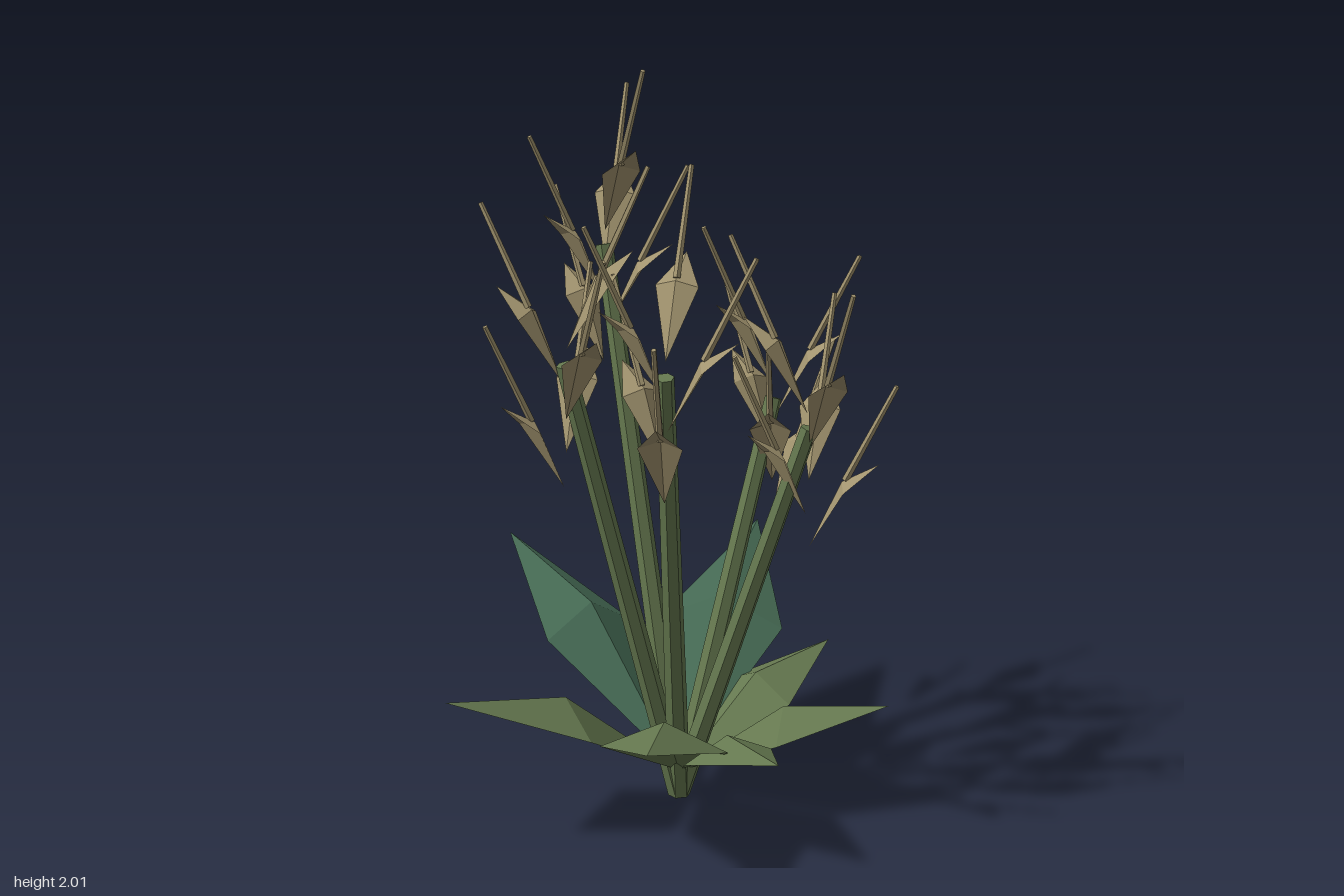
import * as THREE from 'three';

const RAD = Math.PI / 180;
const BASE_Z = 0.14;

const make = (name, color, side) => {
  const m = new THREE.MeshStandardMaterial({ color, flatShading: true, side });
  m.name = name;
  return m;
};

// Folded four-faced blade in a local frame: +x outward, y up, z across.
// Points are [outward, up]; edge is the widest point on both sides of the midrib.
function bladeGeometry(base, mid, edge, tip, halfWidth) {
  const b = [...base, 0], m = [...mid, 0], t = [...tip, 0];
  const l = [...edge, -halfWidth], r = [...edge, halfWidth];
  const faces = [b, m, l, l, m, t, b, r, m, m, r, t];
  const g = new THREE.BufferGeometry();
  g.setAttribute('position', new THREE.Float32BufferAttribute(faces.flat(), 3));
  g.computeVertexNormals();
  return g;
}

// Tapered rod between two points
function rod(from, to, r0, r1, sides, material, name) {
  const a = new THREE.Vector3(...from), b = new THREE.Vector3(...to);
  const dir = b.clone().sub(a);
  const mesh = new THREE.Mesh(new THREE.CylinderGeometry(r1, r0, dir.length(), sides), material);
  mesh.position.copy(a).add(b).multiplyScalar(0.5);
  mesh.quaternion.setFromUnitVectors(new THREE.Vector3(0, 1, 0), dir.normalize());
  mesh.name = name;
  return mesh;
}

export function createModel() {
  const model = new THREE.Group();
  model.name = 'floweringPlant';
  const olive = make('olive green', 0x65784f, THREE.DoubleSide);
  const teal = make('blue green', 0x446852, THREE.DoubleSide);
  const tan = make('dry tan', 0xa2946f, THREE.DoubleSide);

  // Leaf rosette: [azimuth from +x towards +z, reach, tip height, half width]
  const leaves = [
    [-85.6, 0.845, 0.535, 0.147, teal], [-32.4, 0.845, 0.535, 0.183, teal],
    [189.4, 0.72, 0.42, 0.15, olive], [137.8, 0.72, 0.42, 0.17, olive],
    [105.5, 0.58, 0.31, 0.13, olive], [53.4, 0.58, 0.31, 0.145, olive],
    [0, 0.575, 0.31, 0.132, olive],
  ];
  const leafBase = 0.07;
  for (const [angle, reach, top, half, material] of leaves) {
    const middle = (leafBase + top) / 2;
    const leaf = new THREE.Mesh(bladeGeometry(
      [0.01, leafBase],
      [reach * 0.5, middle + reach * 0.16],
      [reach * 0.51, middle + reach * 0.055],
      [reach, top], half), material);
    leaf.position.z = BASE_Z;
    leaf.rotation.y = -angle * RAD;
    leaf.name = 'leaf';
    model.add(leaf);
  }

  // Flower stalks: [tip x, tip height, tip z]
  const stalks = [
    [0.02, 1.5, -0.2], [-0.35, 1.28, 0.085], [-0.265, 1.29, 0.38],
    [0.2, 1.08, 0.425], [0.34, 1.08, 0.14],
  ];
  const petalGeometry = bladeGeometry([0.005, -0.03], [0.09, 0.16], [0.104, 0.143], [0.19, 0.215], 0.057);
  for (const [x, h, z] of stalks) {
    const stalk = new THREE.Group();
    stalk.name = 'flowerStalk';
    stalk.add(rod([0, 0, BASE_Z], [x, h, z], 0.032, 0.024, 6, olive, 'stem'));

    // Five florets spiral upwards by the golden angle
    const start = Math.atan2(z - BASE_Z, x);
    for (let k = 0; k < 5; k++) {
      const floret = new THREE.Group();
      floret.name = 'floret';
      floret.position.set(x, h - 0.3 + 0.0925 * k, z);
      floret.rotation.y = -(start + k * 137.5 * RAD);
      const petal = new THREE.Mesh(petalGeometry, tan);
      petal.name = 'petal';
      floret.add(petal, rod([0.1, 0.165, 0], [0.23, 0.43, 0], 0.01, 0.007, 5, tan, 'stamen'));
      stalk.add(floret);
    }
    model.add(stalk);
  }
  return model;
}
